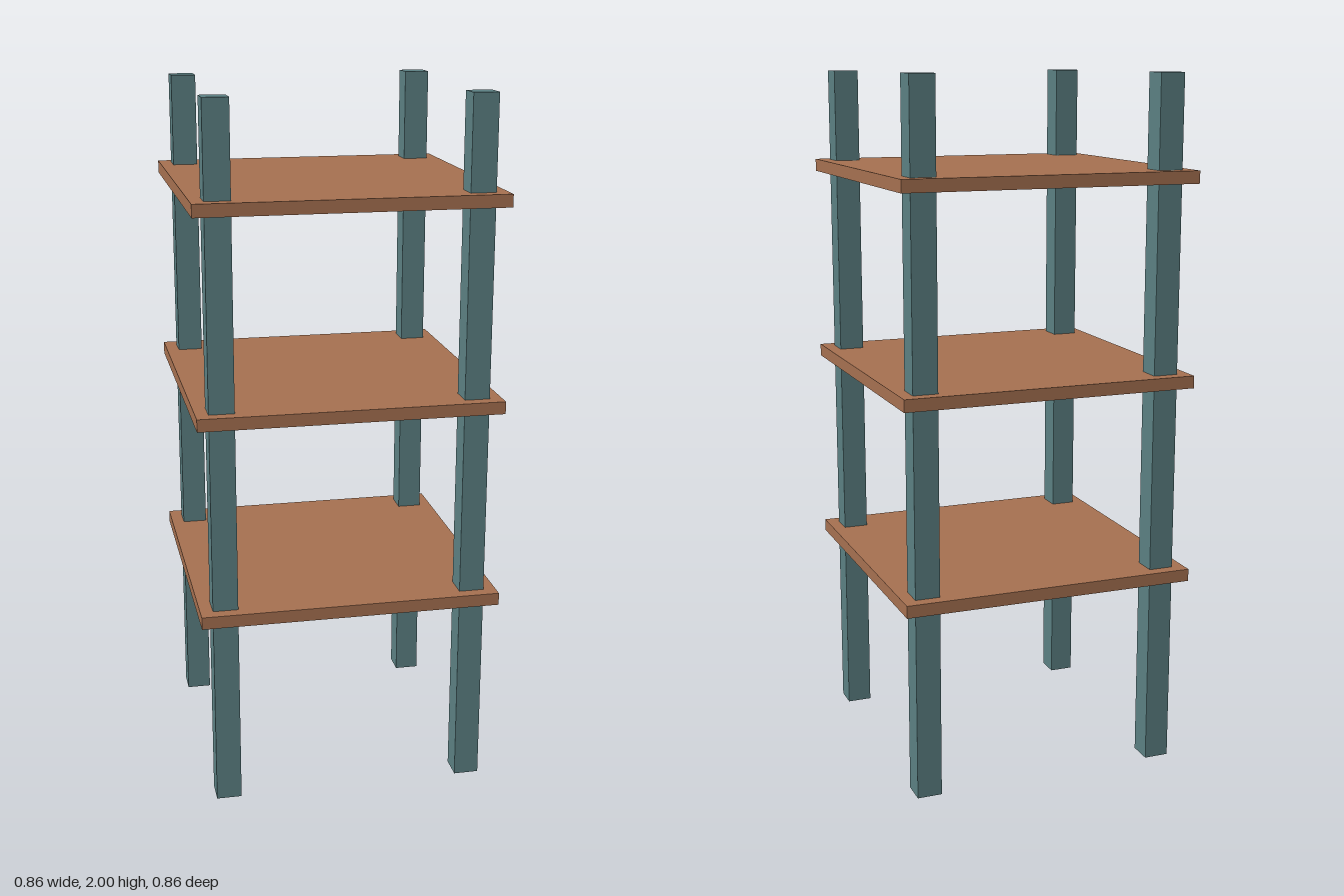
import * as THREE from 'three';

export function createModel() {
  const model = new THREE.Group();
  model.name = 'shelfUnit';

  const postPaint = new THREE.MeshStandardMaterial({ color: 0x5b7f82 });
  postPaint.name = 'teal post paint';
  const shelfWood = new THREE.MeshStandardMaterial({ color: 0xa57050 });
  shelfWood.name = 'brown shelf wood';

  const add = (name, geometry, material, x, y, z) => {
    const mesh = new THREE.Mesh(geometry, material);
    mesh.name = name;
    mesh.position.set(x, y, z);
    model.add(mesh);
  };

  // Four square corner posts, full height
  const postGeometry = new THREE.BoxGeometry(0.0714, 2, 0.0714);
  for (const x of [-1, 1]) {
    for (const z of [-1, 1]) {
      const name = (z > 0 ? 'front' : 'back') + (x > 0 ? 'Left' : 'Right') + 'Post';
      add(name, postGeometry, postPaint, x * 0.357, 1, z * 0.357);
    }
  }

  // Three square shelves that overhang the posts
  const shelfGeometry = new THREE.BoxGeometry(0.857, 0.0357, 0.857);
  ['lowerShelf', 'middleShelf', 'upperShelf'].forEach((name, i) => {
    add(name, shelfGeometry, shelfWood, 0, 0.573 * (i + 1), 0);
  });

  return model;
}
